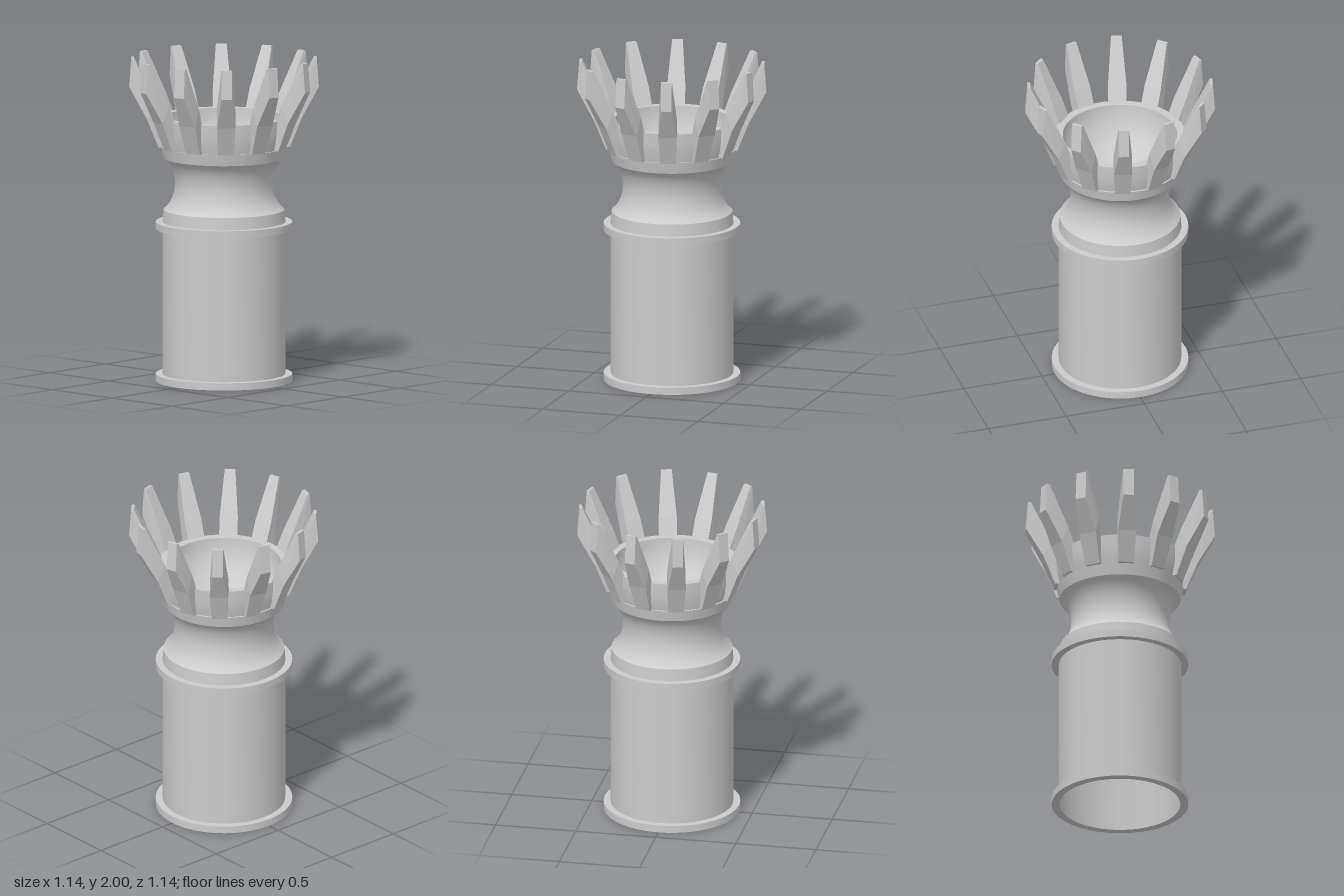
import * as THREE from 'three';
import { toCreasedNormals } from 'three/addons/utils/BufferGeometryUtils.js';

const SEGMENTS = 64;

export function createModel() {
  const group = new THREE.Group();
  const material = new THREE.MeshStandardMaterial({ color: 0xcccccc, side: THREE.DoubleSide });

  // Revolve [radius, height] points, keeping hard profile edges
  function turned(name, points, crease = 0.6) {
    const lathe = new THREE.LatheGeometry(points.map(([r, y]) => new THREE.Vector2(r, y)), SEGMENTS);
    const mesh = new THREE.Mesh(toCreasedNormals(lathe, crease), material);
    mesh.name = name;
    group.add(mesh);
  }

  // Hollow pipe and its two flanges
  turned('pipe', [[0.375, 0.02], [0.375, 0.96]]);
  for (const [name, y] of [['baseFlange', 0], ['upperFlange', 0.94]]) {
    turned(name, [[0.37, y], [0.418, y], [0.418, y + 0.045], [0.37, y + 0.045], [0.37, y]]);
  }

  // Waisted neck: short flared bands joined by a concave curve
  const neck = [[0.376, 0.985], [0.37, 1.06]];
  const curve = new THREE.CubicBezierCurve(
    new THREE.Vector2(0.37, 1.06), new THREE.Vector2(0.278, 1.13),
    new THREE.Vector2(0.278, 1.31), new THREE.Vector2(0.37, 1.38));
  for (let i = 1; i <= 18; i++) {
    const p = curve.getPoint(i / 18);
    neck.push([p.x, p.y]);
  }
  turned('neck', neck);

  // Collar and flared cup wall with a flat rim
  turned('collar', [[0.37, 1.38], [0.386, 1.45], [0.36, 1.45]]);
  turned('cup', [[0.375, 1.45], [0.388, 1.5], [0.397, 1.56], [0.4, 1.635], [0.35, 1.635]]);

  // Rounded bowl inside the cup
  const bowl = [];
  for (let i = 0; i <= 16; i++) {
    const a = (i / 16) * Math.PI / 2;
    bowl.push([0.35 * Math.cos(a), 1.635 - 0.35 * Math.sin(a)]);
  }
  turned('bowl', bowl);

  // Crown spike: radial profile extruded, with its own half width at each radius and height
  const shape = new THREE.Shape([
    [0.36, 1.45], [0.402, 1.45], [0.475, 1.63], [0.58, 1.82],
    [0.567, 2], [0.55, 2], [0.43, 1.74], [0.385, 1.63],
  ].map(([r, y]) => new THREE.Vector2(r, y)));
  const spike = new THREE.ExtrudeGeometry(shape, { depth: 2, bevelEnabled: false });
  spike.translate(0, 0, -1);
  const pos = spike.attributes.position;
  for (let i = 0; i < pos.count; i++) {
    const r = pos.getX(i), y = pos.getY(i);
    const halfWidth = r > 0.5 ? 0.033 : y < 1.5 ? 0.047 : 0.056;
    pos.setZ(i, pos.getZ(i) * halfWidth);
  }
  spike.computeVertexNormals();

  // Twelve spikes around the cup
  const crown = new THREE.Group();
  crown.name = 'crown';
  for (let i = 0; i < 12; i++) {
    const mesh = new THREE.Mesh(spike, material);
    mesh.name = 'spike';
    mesh.rotation.y = (i + 0.5) * Math.PI / 6;
    crown.add(mesh);
  }
  group.add(crown);

  return group;
}
